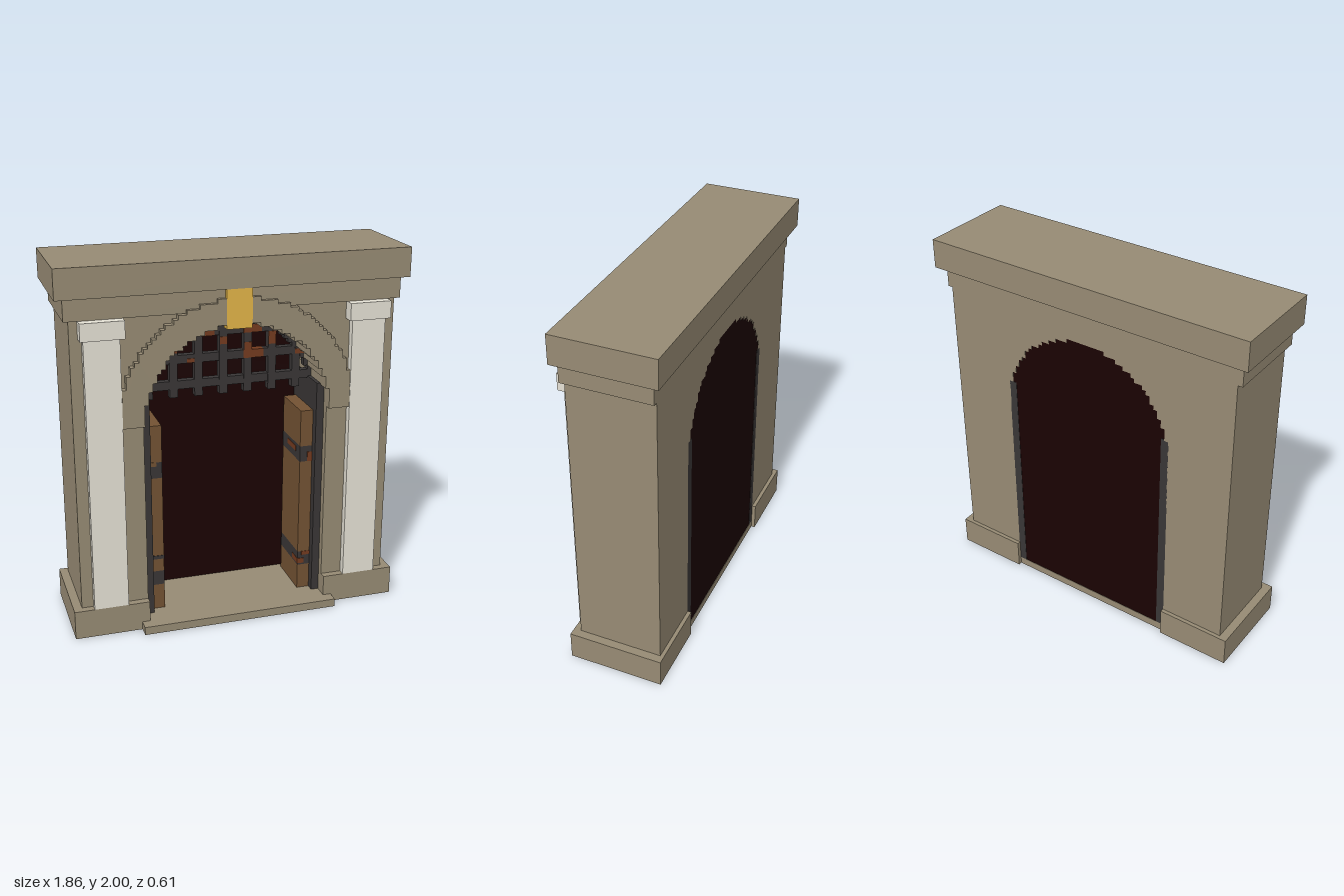
import * as THREE from 'three';

const V = 1 / 44;          // size of one block step
const SPRING = 51 * V;     // height where the arch begins
const PLINTH = 0.16;       // height of the plinth

const paint = (name, color) => {
  const m = new THREE.MeshStandardMaterial({ color });
  m.name = name;
  return m;
};

// Right half of a block-stepped arch, from the springing to the crown
function halfArch(r, maxX = 9) {
  const pts = [];
  for (let j = 0; j < r; j++) {
    const w = Math.min(maxX, Math.round(Math.sqrt(r * r - (j + 0.5) ** 2)) * V);
    pts.push([w, SPRING + j * V], [w, SPRING + (j + 1) * V]);
  }
  return pts;
}
const mirror = (pts) => pts.map(([x, y]) => [-x, y]).reverse();
const fullArch = (r, maxX) => {
  const h = halfArch(r, maxX);
  return [...h, ...mirror(h)];
};

function extrude(pts, z0, z1) {
  const shape = new THREE.Shape(pts.map(([x, y]) => new THREE.Vector2(x, y)));
  const g = new THREE.ExtrudeGeometry(shape, { depth: z1 - z0, bevelEnabled: false });
  return g.translate(0, 0, z0);
}

// Removes the level faces at the given heights, leaving a hollow shell
function openAt(geometry, ...levels) {
  const g = geometry.index ? geometry.toNonIndexed() : geometry;
  const p = g.attributes.position;
  const keep = [];
  for (let i = 0; i < p.count; i += 3) {
    const flat = levels.some((y) => [0, 1, 2].every((k) => Math.abs(p.getY(i + k) - y) < 1e-4));
    if (!flat) keep.push(i, i + 1, i + 2);
  }
  g.clearGroups();
  g.setIndex(keep);
  return g;
}

export function createModel() {
  const root = new THREE.Group();
  root.name = 'archedGateway';
  const stone = paint('stone', 0x978b74);
  stone.side = THREE.DoubleSide; // hollow walls, open underneath
  const marble = paint('paleStone', 0xe6e2d6);
  const gold = paint('gold', 0xe2b448);
  const iron = paint('iron', 0x393636);
  const rust = paint('rust', 0x743b1f);
  const wood = paint('wood', 0x735233);
  const dark = paint('darkness', 0x1a0202);

  const add = (name, geometry, material) => {
    const m = new THREE.Mesh(geometry, material);
    m.name = name;
    root.add(m);
  };
  const boxGeo = (x0, x1, y0, y1, z0, z1) =>
    new THREE.BoxGeometry(x1 - x0, y1 - y0, z1 - z0)
      .translate((x0 + x1) / 2, (y0 + y1) / 2, (z0 + z1) / 2);
  const box = (name, mat, ...b) => add(name, boxGeo(...b), mat);
  // Box on both sides, measured on the +x side
  const pair = (name, mat, x0, x1, ...rest) => {
    box(name + 'Left', mat, x0, x1, ...rest);
    box(name + 'Right', mat, -x1, -x0, ...rest);
  };

  // Wall with the arched opening
  const wall = [[0.862, PLINTH], [0.862, 1.73], [-0.862, 1.73], [-0.862, PLINTH], [-0.5, PLINTH],
    ...fullArch(22).reverse(), [0.5, PLINTH]];
  add('wall', openAt(extrude(wall, -0.263, 0.2), PLINTH), stone);

  // Cornice, cap and threshold
  box('cornice', stone, -0.888, 0.888, 1.73, 1.843, -0.263, 0.215);
  box('cap', stone, -0.93, 0.93, 1.843, 2, -0.305, 0.24);
  box('threshold', stone, -0.545, 0.545, 0, 0.045, -0.263, 0.305);

  // Hollow plinths with a ledge around the wall
  for (const [name, x0, x1] of [['plinthLeft', 0.5, 0.908], ['plinthRight', -0.908, -0.5]]) {
    add(name, openAt(boxGeo(x0, x1, 0, PLINTH, -0.284, 0.24), 0, PLINTH), stone);
  }
  pair('plinthFrontLedge', stone, 0.5, 0.908, PLINTH - 0.004, PLINTH, 0.2, 0.24);
  pair('plinthBackLedge', stone, 0.5, 0.908, PLINTH - 0.004, PLINTH, -0.284, -0.263);
  pair('plinthSideLedge', stone, 0.862, 0.908, PLINTH - 0.004, PLINTH, -0.263, 0.2);

  // Raised arch moulding and keystone
  add('archMoulding', extrude([...fullArch(28, 0.615), ...fullArch(22).reverse()], 0.19, 0.237), stone);
  box('keystone', gold, -0.068, 0.068, 1.637, 1.843, 0.19, 0.24);

  // Pilasters, set slightly into the wall
  pair('pilaster', marble, 0.615, 0.8, PLINTH, 1.64, 0.194, 0.24);
  pair('capital', marble, 0.593, 0.818, 1.637, 1.73, 0.194, 0.265);

  // Iron jambs and the dark backing
  pair('jamb', iron, 0.458, 0.503, 0.045, 1.28, -0.263, 0.16);
  add('darkBacking', extrude([[0.49, 0.045], ...fullArch(22), [-0.49, 0.045]], -0.261, -0.19), dark);

  // Open door leaves, let into the jambs: wood and iron bands stacked
  const stack = [0.045, 0.19, 0.272, 0.82, 0.91, 1.115];
  for (let i = 0; i < 5; i++) {
    pair(i % 2 ? 'doorBand' : 'doorLeaf', i % 2 ? iron : wood,
      0.388, 0.506, stack[i], stack[i + 1], -0.16, 0.115);
  }
  // Wear on the door leaves
  box('doorRust', rust, 0.386, 0.425, 0.2, 0.23, 0.03, 0.118);
  box('doorRust', rust, 0.41, 0.508, 0.25, 0.272, -0.05, 0.118);
  box('doorRust', rust, 0.43, 0.508, 0.82, 0.875, 0.02, 0.118);
  box('doorRust', rust, 0.386, 0.41, 0.86, 0.89, -0.08, 0.05);
  box('doorNail', iron, -0.458, -0.386, 0.345, 0.365, 0.095, 0.118);
  box('doorChip', wood, -0.458, -0.42, 0.888, 0.912, 0.09, 0.118);

  // Raised portcullis, trimmed to the arch
  const reach = (d) => Math.sqrt(Math.max(0, 0.25 - d * d)) - 0.01;
  add('portcullisRim', extrude([...fullArch(22), ...fullArch(21).reverse()], -0.02, 0.02), iron);
  for (let i = 0; i < 7; i++) {
    const x = -0.43 + i * 0.136;
    box('portcullisUpright', iron, x - 0.022, x + 0.022, 1.227,
      SPRING + reach(Math.abs(x) + 0.015), -0.022, 0.022);
  }
  for (let i = 0; i < 3; i++) {
    const y = 1.295 + i * 0.139;
    const w = reach(y + 0.02 - SPRING);
    box('portcullisRail', iron, -w, w, y - 0.023, y + 0.023, -0.02, 0.02);
  }

  // Rust patches on the portcullis: x0, x1, y0, y1
  const patches = [
    [-0.25, -0.18, 1.55, 1.595], [-0.14, -0.07, 1.55, 1.595], [-0.18, -0.14, 1.575, 1.62],
    [-0.316, -0.274, 1.47, 1.53], [0.09, 0.2, 1.413, 1.458], [0.094, 0.136, 1.458, 1.5],
    [0.09, 0.19, 1.552, 1.595], [0.094, 0.136, 1.6, 1.63], [0.229, 0.271, 1.48, 1.55],
    [-0.041, 0.001, 1.5, 1.54], [0.38, 0.43, 1.413, 1.44], [-0.22, -0.18, 1.413, 1.435],
  ];
  for (const p of patches) box('portcullisRust', rust, ...p, -0.025, 0.025);

  return root;
}
